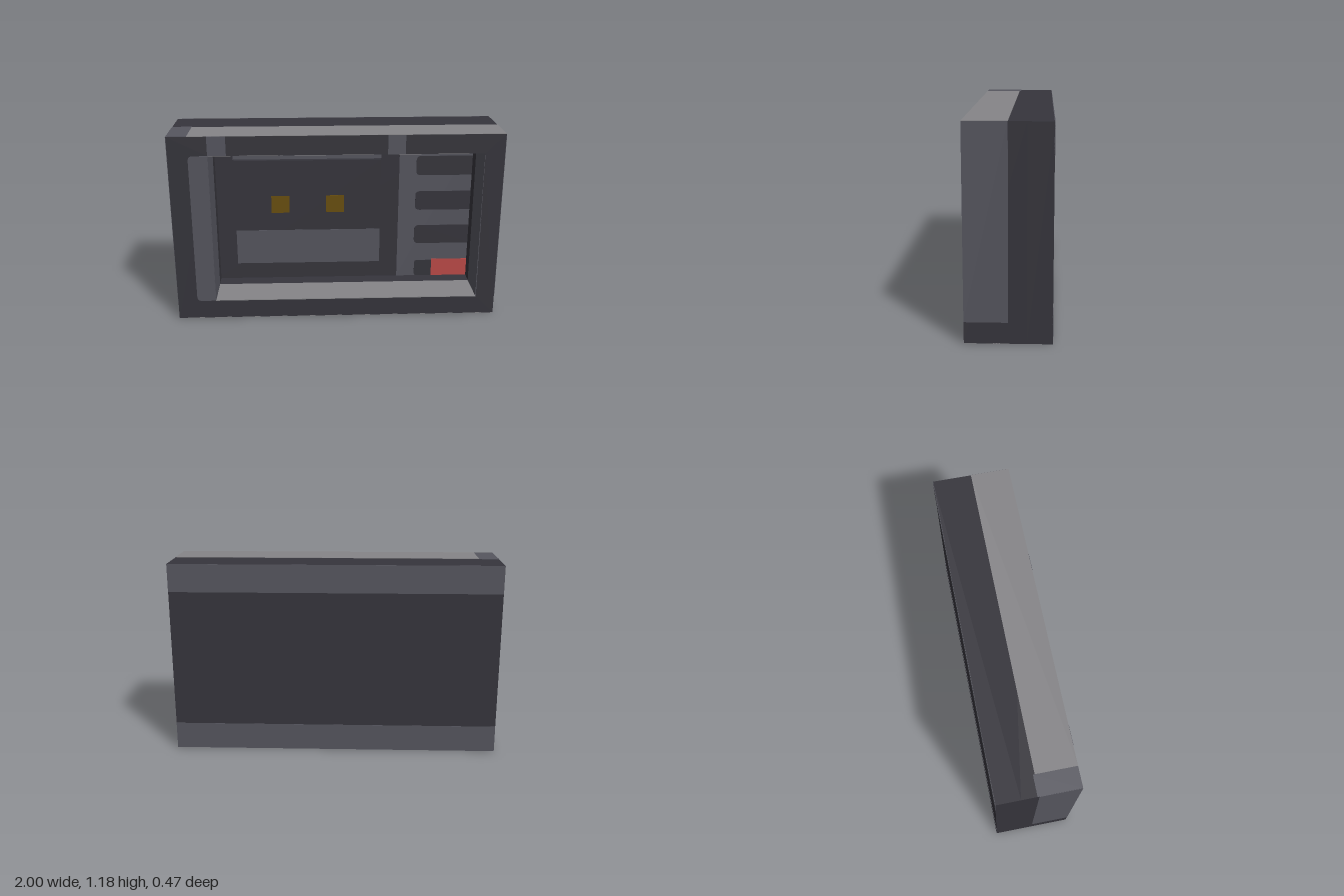
import * as THREE from 'three';

const mat = (name, color) => new THREE.MeshStandardMaterial({ name, color });

export function createModel() {
  const dark = mat('charcoal', 0x36353c);
  const mid = mat('slate grey', 0x56565f);
  const light = mat('light grey', 0x868588);
  const amber = mat('dark amber', 0x6a4f0e);
  const red = mat('red', 0xbd4b48);
  const group = new THREE.Group();

  const W = 1, H = 1.177, D = 0.235;                    // outer half width, height, half depth
  const L = -0.765, R = 0.882, B = 0.118, T = 1.06;     // front opening
  const wallZ = -0.098, panelZ = -0.065;                // recess wall, raised panel
  const t = 0.002;                                      // half thickness of painted plates

  const add = (name, geometry, material) => {
    const mesh = new THREE.Mesh(geometry, material);
    mesh.name = name;
    group.add(mesh);
    return mesh;
  };
  // Box given by its limits on each axis
  const box = (name, material, x0, x1, y0, y1, z0, z1) => {
    const g = new THREE.BoxGeometry(x1 - x0, y1 - y0, z1 - z0);
    g.translate((x0 + x1) / 2, (y0 + y1) / 2, (z0 + z1) / 2);
    return add(name, g, material);
  };
  // Thin plate facing +z with rounded corners on its left edge
  const plate = (name, material, x0, x1, y0, y1, z, r) => {
    const s = new THREE.Shape();
    s.moveTo(x1, y0);
    s.lineTo(x1, y1);
    s.lineTo(x0 + r, y1);
    s.quadraticCurveTo(x0, y1, x0, y1 - r);
    s.lineTo(x0, y0 + r);
    s.quadraticCurveTo(x0, y0, x0 + r, y0);
    s.closePath();
    const g = new THREE.ExtrudeGeometry(s, { depth: 2 * t, bevelEnabled: false, curveSegments: 5 });
    g.translate(0, 0, z - t);
    return add(name, g, material);
  };

  // Casing: front frame with an opening, closed by a back slab
  const frame = new THREE.Shape([[-W, 0], [W, 0], [W, H], [-W, H]].map(p => new THREE.Vector2(...p)));
  frame.holes.push(new THREE.Path([[L, B], [L, T], [R, T], [R, B]].map(p => new THREE.Vector2(...p))));
  const frameGeo = new THREE.ExtrudeGeometry(frame, { depth: D - wallZ, bevelEnabled: false });
  frameGeo.translate(0, 0, wallZ);
  add('casingFrame', frameGeo, dark);
  box('casingBack', dark, -W, W, 0, H, -D, wallZ);

  // Outer panels on the front half of the casing
  for (const s of [-1, 1]) {
    box(s > 0 ? 'leftSidePanel' : 'rightSidePanel', mid, s * W - t, s * W + t, B, H, 0, D);
  }
  for (const [name, y] of [['top', H], ['bottom', 0]]) {
    box(name + 'Panel', light, -0.88, W, y - t, y + t, 0, D);
  }
  box('topCornerPatch', mid, -W, -0.88, H - t, H + t, -0.01, D);

  // Front face markings
  plate('frontSideStrip', mid, -0.88, L, B, T, D, 0.03);
  box('frontTopPatch', mid, L, -0.655, T, H, D - t, D + t);
  box('frontTopPatch', mid, 0.3, 0.405, T, H, D - t, D + t);

  // Bands along the back
  box('backTopBand', mid, -W, W, H - 0.17, H, -D - t, -D + t);
  box('backBottomBand', mid, -W, W, 0, 0.165, -D - t, -D + t);

  // Inner walls of the opening, front half
  box('innerFloor', light, L, R, B - t, B + t, 0, D);
  box('innerCeiling', light, L, R, T - t, T + t, 0, D);
  box('innerWall', mid, L - t, L + t, B, T, 0, D);
  box('innerWall', mid, R - t, R + t, B, T, 0, D);

  // Raised panel with two lamps and a lower band
  box('displayPanel', dark, -0.645, 0.29, 0.24, 0.942, wallZ, panelZ);
  box('displayLowerBand', mid, -0.645, 0.29, 0.24, 0.472, panelZ - t, panelZ + t);
  box('displayUpperStrip', mid, -0.652, 0.295, 0.942, T, wallZ - t, wallZ + t);
  for (const x of [-0.355, -0.002]) {
    box('lamp', amber, x - 0.058, x + 0.058, 0.592, 0.707, panelZ - t, panelZ + t);
  }

  // Control column with dark slots and a red button
  box('controlPlate', mid, 0.412, R, B, T, wallZ - t, wallZ + t);
  for (const y of [0.353, 0.589, 0.826]) {
    plate('slot', dark, 0.522, R, y, y + 0.128, wallZ + t, 0.03);
  }
  plate('slot', dark, 0.53, 0.645, B, 0.23, wallZ + t, 0.02);
  box('button', red, 0.645, R, B, 0.237, wallZ, wallZ + 2 * t);

  return group;
}
